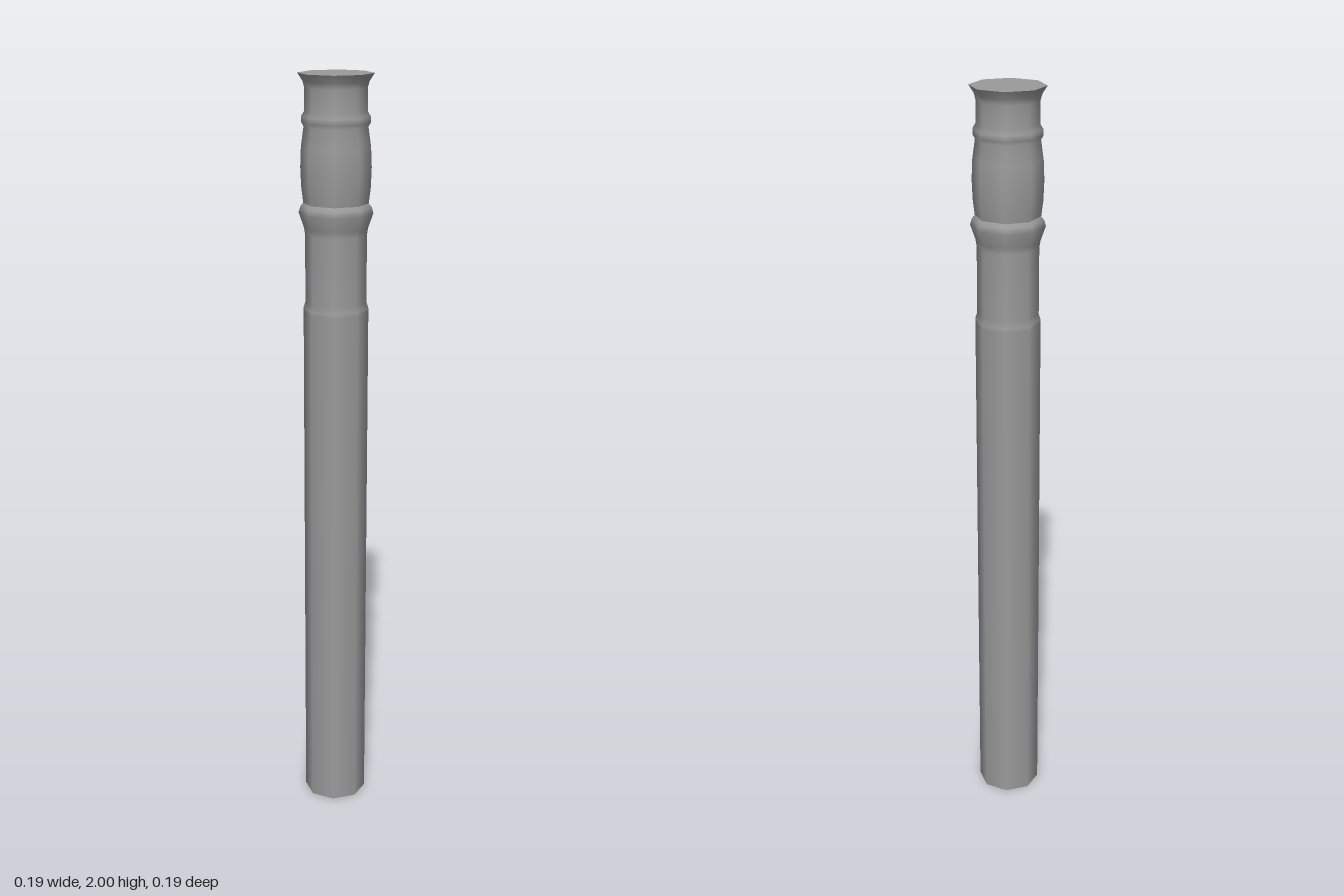
import * as THREE from 'three';

const SIDES = 8;
const LEAN = 0.004;

export function createModel() {
  const group = new THREE.Group();
  const material = new THREE.MeshStandardMaterial({ color: 0x9b9b9b });

  const add = (name, geometry) => {
    const mesh = new THREE.Mesh(geometry, material);
    mesh.name = name;
    group.add(mesh);
    return mesh;
  };
  const turned = (profile) =>
    new THREE.LatheGeometry(profile.map(([r, y]) => new THREE.Vector2(r, y)), SIDES);

  // Long shaft, stepped neck and the ring above it, smooth throughout
  const shaft = turned([
    [0.084, 0], [0.084, 1.4], [0.084, 1.41], [0.079, 1.425],
    [0.079, 1.6], [0.082, 1.618], [0.095, 1.655], [0.091, 1.67], [0.083, 1.68],
  ]);
  // The foot of the shaft leans slightly towards -x
  const position = shaft.attributes.position;
  for (let i = 0; i < position.count; i++) {
    const lean = LEAN * Math.max(0, 1 - position.getY(i) / 1.4);
    position.setX(i, position.getX(i) - lean);
  }
  add('shaftAndLowerRing', shaft);

  // Bulbous head with its thin ring and flared end
  add('head', turned([
    [0.083, 1.68], [0.088, 1.72], [0.09, 1.77], [0.088, 1.82], [0.081, 1.87],
    [0.087, 1.88], [0.087, 1.895], [0.079, 1.908], [0.079, 1.965], [0.083, 1.98], [0.096, 2],
  ]));

  // Flat end caps
  const top = add('topCap', new THREE.CircleGeometry(0.096, SIDES));
  top.rotation.x = -Math.PI / 2;
  top.position.y = 2;
  const bottom = add('bottomCap', new THREE.CircleGeometry(0.084, SIDES));
  bottom.rotation.x = Math.PI / 2;
  bottom.position.x = -LEAN;

  return group;
}
